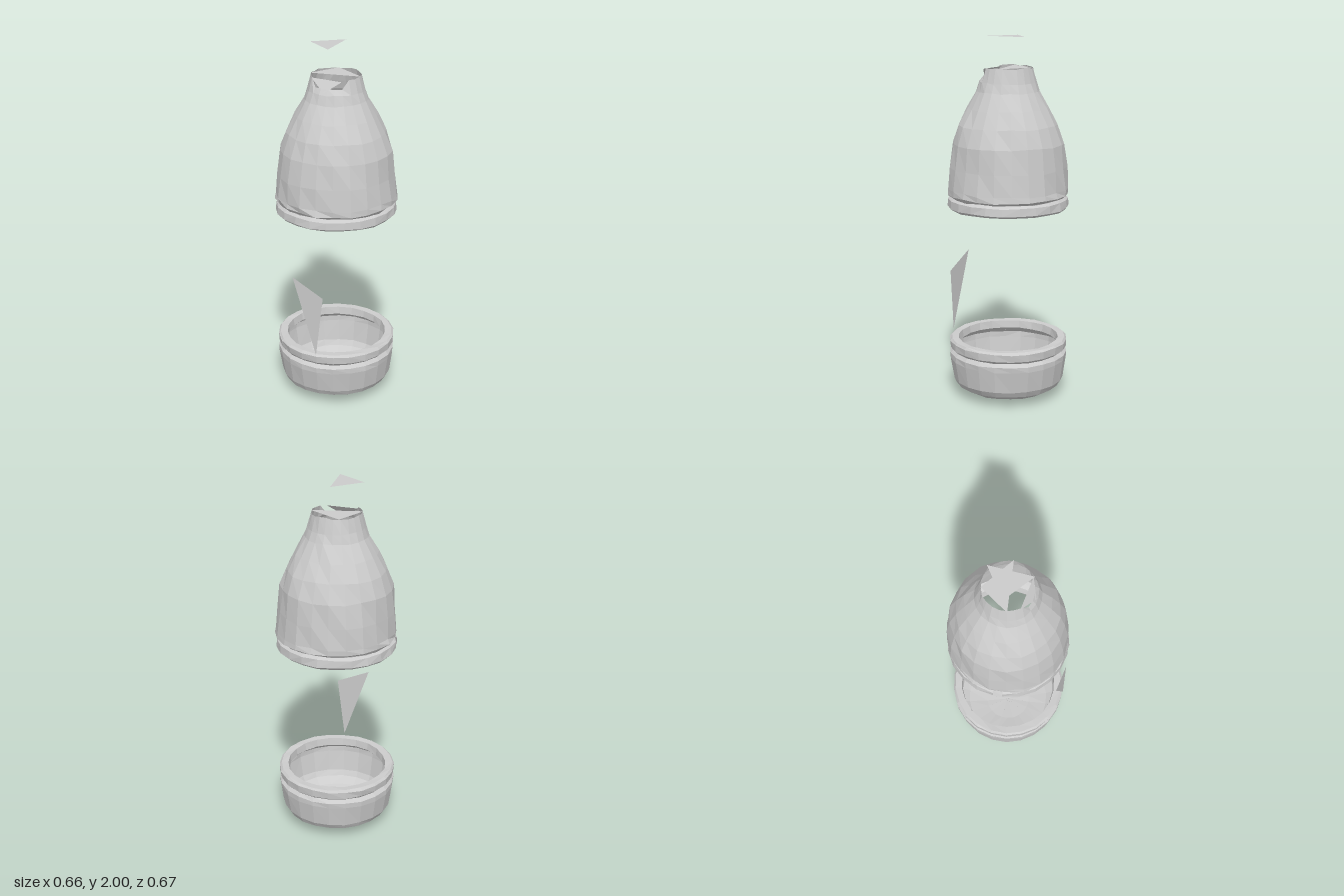
import * as THREE from 'three';

const SIDES = 22;
const material = new THREE.MeshStandardMaterial({ color: 0xcccccc, flatShading: true, side: THREE.DoubleSide });

// Repeatable noise in -1..1 for the dented surface
function noise(i, j) {
  const s = Math.sin(i * 127.1 + j * 311.7) * 43758.5453;
  return 2 * (s - Math.floor(s)) - 1;
}

// Turned shell whose vertices are pushed in, out and up or down a little
function dentedShell(name, profile, dent, lift, start = 0, length = Math.PI * 2) {
  const points = profile.map(([r, y]) => new THREE.Vector2(r, y));
  const geometry = new THREE.LatheGeometry(points, SIDES, start, length);
  const p = geometry.attributes.position;
  for (let k = 0; k < p.count; k++) {
    const column = Math.floor(k / profile.length) % SIDES;
    const row = k % profile.length;
    const f = 1 + dent * (noise(column, row) - 0.2);
    p.setXYZ(k, p.getX(k) * f, p.getY(k) + lift * noise(column + 50, row), p.getZ(k) * f);
  }
  geometry.computeVertexNormals();
  const mesh = new THREE.Mesh(geometry, material);
  mesh.name = name;
  return mesh;
}

// Loose three-cornered fragment
function shard(name, a, b, c) {
  const geometry = new THREE.BufferGeometry();
  geometry.setAttribute('position', new THREE.Float32BufferAttribute([...a, ...b, ...c], 3));
  geometry.computeVertexNormals();
  const mesh = new THREE.Mesh(geometry, material);
  mesh.name = name;
  return mesh;
}

export function createModel() {
  const model = new THREE.Group();
  model.name = 'brokenJar';

  // Lower bowl: thin rounded shell with a grooved, folded-in lip
  model.add(dentedShell('bowl', [
    [0, 0.006], [0.13, 0.016], [0.24, 0.04], [0.29, 0.068], [0.308, 0.1],
    [0.328, 0.22], [0.328, 0.25], [0.31, 0.268], [0.326, 0.283], [0.33, 0.322],
    [0.318, 0.334], [0.28, 0.332], [0.274, 0.29], [0.3, 0.268],
  ], 0.007, 0.002));

  // Upper body: sloping shoulder narrowing to an open neck
  const body = dentedShell('upperBody', [
    [0.312, 1.138], [0.332, 1.155], [0.33, 1.185], [0.32, 1.3], [0.304, 1.43],
    [0.272, 1.53], [0.222, 1.62], [0.172, 1.71], [0.155, 1.76], [0.135, 1.837],
  ], 0.02, 0.004);
  // Broken-down front edge of the neck
  const p = body.geometry.attributes.position;
  for (let k = 0; k < p.count; k++) {
    if (p.getY(k) > 1.8 && p.getZ(k) > 0.09) p.setY(k, 1.79);
  }
  body.geometry.computeVertexNormals();
  model.add(body);

  // Rolled ring at the open foot of the body, split on one side
  const gap = 0.16;
  model.add(dentedShell('footRing', [
    [0.312, 1.138], [0.328, 1.125], [0.332, 1.085], [0.318, 1.072], [0.288, 1.074],
    [0.28, 1.1], [0.29, 1.14], [0.312, 1.15],
  ], 0.008, 0.003, Math.PI * 1.5 + gap / 2, Math.PI * 2 - gap));

  // Fragments above and in the neck, inside the foot and beside the bowl
  model.add(shard('topShard', [-0.145, 2, 0], [0, 2, 0.13], [0.02, 2, -0.105]));
  model.add(shard('neckShard', [-0.14, 1.837, 0.02], [0.14, 1.837, 0.005], [-0.03, 1.837, -0.13]));
  model.add(shard('neckFlap', [-0.11, 1.83, 0.08], [-0.02, 1.77, 0.145], [0.07, 1.83, 0.115]));
  model.add(shard('footShard', [0.08, 1.12, 0.3], [-0.26, 1.12, 0.06], [-0.18, 1.12, 0.25]));
  model.add(shard('sideShard', [0, 0.335, 0.335], [0.04, 0.685, 0.333], [-0.145, 0.77, 0.3]));

  return model;
}
